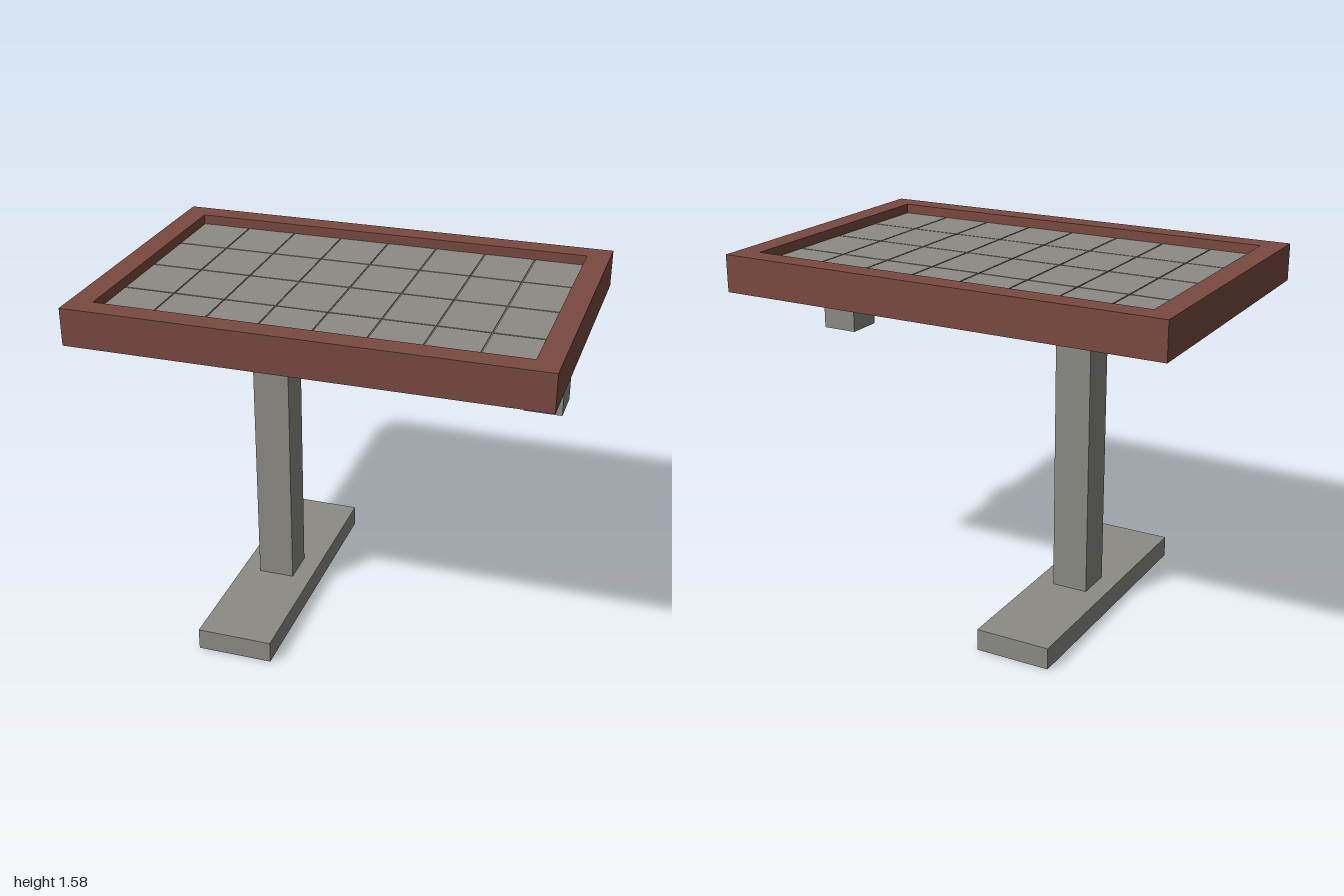
import * as THREE from 'three';

// Box spanning the given limits, leaving out the listed sides (0 +x, 1 -x, 2 +y, 3 -y, 4 +z, 5 -z)
function shell(name, material, [x0, x1], [y0, y1], [z0, z1], open = []) {
  const geometry = new THREE.BoxGeometry(x1 - x0, y1 - y0, z1 - z0);
  const index = Array.from(geometry.index.array);
  geometry.setIndex(index.filter((_, i) => !open.includes(Math.floor(i / 6))));
  geometry.clearGroups();
  geometry.translate((x0 + x1) / 2, (y0 + y1) / 2, (z0 + z1) / 2);
  const mesh = new THREE.Mesh(geometry, material);
  mesh.name = name;
  return mesh;
}

function rectangle(target, w, d) {
  target.moveTo(-w, -d);
  target.lineTo(w, -d);
  target.lineTo(w, d);
  target.lineTo(-w, d);
  target.closePath();
  return target;
}

export function createModel() {
  const redBrown = new THREE.MeshStandardMaterial({ color: 0x7a4a40 });
  redBrown.name = 'redBrown';
  const warmGrey = new THREE.MeshStandardMaterial({ color: 0x8c8b84, side: THREE.DoubleSide });
  warmGrey.name = 'warmGrey';

  const model = new THREE.Group();
  model.name = 'table';

  // Rectangular rim around the table top
  const outline = rectangle(new THREE.Shape(), 1, 0.667);
  outline.holes.push(rectangle(new THREE.Path(), 0.9, 0.568));
  const rimGeometry = new THREE.ExtrudeGeometry(outline, { depth: 0.162, bevelEnabled: false });
  rimGeometry.rotateX(-Math.PI / 2);
  rimGeometry.translate(0, 1.42, 0);
  const rim = new THREE.Mesh(rimGeometry, redBrown);
  rim.name = 'topFrame';
  model.add(rim);

  // Recessed panel: a core slab showing through narrow joints between tiles
  model.add(shell('panelCore', warmGrey, [-0.9, 0.9], [1.464, 1.536], [-0.568, 0.568]));
  const tiles = new THREE.Group();
  tiles.name = 'panelTiles';
  const columns = 8, rows = 4, joint = 0.003;
  const w = 1.8 / columns, d = 1.136 / rows;
  for (let c = 0; c < columns; c++) {
    for (let r = 0; r < rows; r++) {
      const x = -0.9 + c * w, z = -0.568 + r * d;
      tiles.add(shell('tile', warmGrey, [x + joint, x + w - joint], [1.46, 1.54], [z + joint, z + d - joint]));
    }
  }
  model.add(tiles);

  // Supporting post, short hollow stub under the left end, and hollow foot
  model.add(shell('post', warmGrey, [-0.417, -0.255], [0.094, 1.465], [-0.082, 0.082], [2, 3]));
  model.add(shell('stubLeg', warmGrey, [0.78, 0.942], [1.122, 1.465], [-0.082, 0.082], [2, 3]));
  model.add(shell('foot', warmGrey, [-0.503, -0.169], [0, 0.096], [-0.611, 0.611], [3]));

  return model;
}
